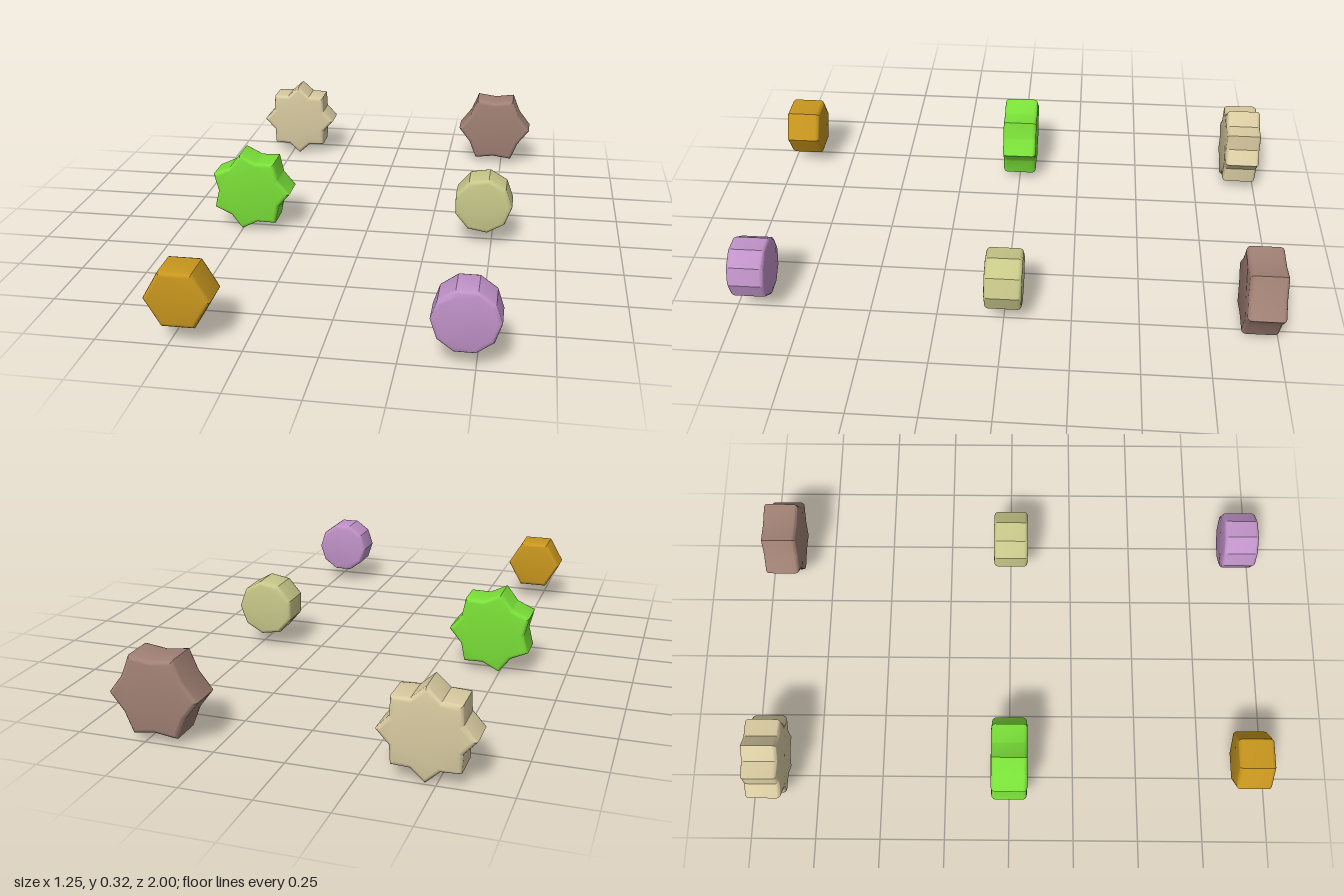
import * as THREE from 'three';
import { toCreasedNormals } from 'three/addons/utils/BufferGeometryUtils.js';

const DEPTH = 0.137, BEVEL = 0.015, CENTRE_Y = 0.1625;

// Outline with its first corner on +x; a star when an inner radius is given.
function outline(sides, outer, inner) {
  const count = inner ? sides * 2 : sides;
  const points = [];
  for (let i = 0; i < count; i++) {
    const a = (i / count) * Math.PI * 2;
    const r = inner && i % 2 ? inner : outer;
    points.push(new THREE.Vector2(Math.cos(a) * r, Math.sin(a) * r));
  }
  return new THREE.Shape(points);
}

// Upright slab with rounded rims, centred on its own origin.
function slab(shape) {
  const geometry = new THREE.ExtrudeGeometry(shape, {
    depth: DEPTH - 2 * BEVEL,
    bevelEnabled: true,
    bevelThickness: BEVEL,
    bevelSize: BEVEL,
    bevelOffset: -BEVEL,
    bevelSegments: 3,
  });
  geometry.translate(0, 0, BEVEL - DEPTH / 2);
  return toCreasedNormals(geometry, 0.55);
}

export function createModel() {
  const group = new THREE.Group();
  const X = 0.4635, Z = 1 - DEPTH / 2, R = 0.113, STAR = 0.1615, NOTCH = 0.128;

  // name, colour, sides, outer radius, inner radius, x, z
  const pieces = [
    ['hexagonPiece', 0xc8961e, 6, R, 0, -X, Z],
    ['decagonPiece', 0xc092c8, 10, R, 0, X, Z],
    ['sevenPointStar', 0x7ae038, 7, STAR, NOTCH, -X, 0],
    ['nonagonPiece', 0xc8c88a, 9, R, 0, X, 0],
    ['eightPointStar', 0xd8caa0, 8, STAR + 0.001, NOTCH, -X, -Z],
    ['sixPointStar', 0xa08074, 6, STAR, NOTCH + 0.001, X, -Z],
  ];
  for (const [name, color, sides, outer, inner, x, z] of pieces) {
    const mesh = new THREE.Mesh(
      slab(outline(sides, outer, inner)),
      new THREE.MeshStandardMaterial({ color })
    );
    mesh.name = name;
    mesh.position.set(x, CENTRE_Y, z);
    group.add(mesh);
  }
  return group;
}
